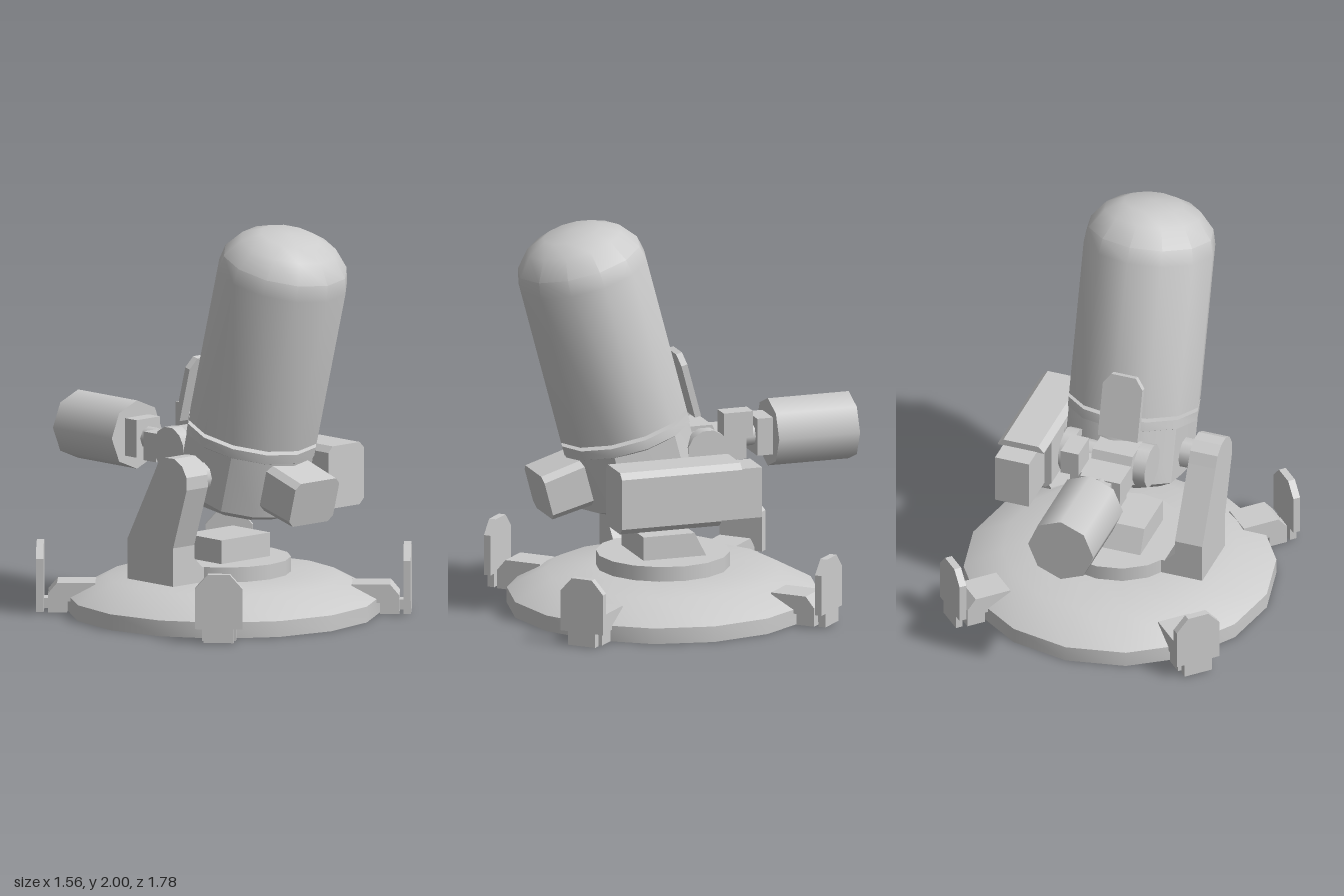
import * as THREE from 'three';
import { toCreasedNormals } from 'three/addons/utils/BufferGeometryUtils.js';

const grey = new THREE.MeshStandardMaterial({ color: 0xcccccc });
const greyDouble = new THREE.MeshStandardMaterial({ color: 0xcccccc, side: THREE.DoubleSide });

function add(parent, name, geometry, material = grey) {
  const mesh = new THREE.Mesh(geometry, material);
  mesh.name = name;
  parent.add(mesh);
  return mesh;
}

function group(parent, name) {
  const g = new THREE.Group();
  g.name = name;
  parent.add(g);
  return g;
}

const shapeOf = (pts) => new THREE.Shape(pts.map(([x, y]) => new THREE.Vector2(x, y)));

// Box given by its limits
function box(x0, x1, y0, y1, z0, z1) {
  return new THREE.BoxGeometry(x1 - x0, y1 - y0, z1 - z0)
    .translate((x0 + x1) / 2, (y0 + y1) / 2, (z0 + z1) / 2);
}

// Outline in (x, y) extruded from z0 to z1
function slabZ(pts, z0, z1) {
  return new THREE.ExtrudeGeometry(shapeOf(pts), { depth: z1 - z0, bevelEnabled: false }).translate(0, 0, z0);
}

// Outline in (z, y) extruded from x0 to x1
function slabX(pts, x0, x1) {
  return new THREE.ExtrudeGeometry(shapeOf(pts), { depth: x1 - x0, bevelEnabled: false })
    .rotateY(-Math.PI / 2).translate(x1, 0, 0);
}

// Rectangle with cut corners; the bottom cut may differ from the top
function cutRect(x0, x1, y0, y1, top, bottom = top) {
  const pts = [[x0 + bottom, y0], [x1 - bottom, y0], [x1, y0 + bottom], [x1, y1 - top],
    [x1 - top, y1], [x0 + top, y1], [x0, y1 - top], [x0, y0 + bottom]];
  return pts.filter((p, i) => i === 0 || p[0] !== pts[i - 1][0] || p[1] !== pts[i - 1][1]);
}

function lathe(profile, sides, crease = 0.65) {
  const pts = profile.map(([r, y]) => new THREE.Vector2(r, y));
  return toCreasedNormals(new THREE.LatheGeometry(pts, sides), crease);
}

const cylX = (r, x0, x1, y, z, sides) => new THREE.CylinderGeometry(r, r, x1 - x0, sides)
  .rotateZ(Math.PI / 2).translate((x0 + x1) / 2, y, z);
const cylZ = (r, z0, z1, x, y, sides) => new THREE.CylinderGeometry(r, r, z1 - z0, sides)
  .rotateX(Math.PI / 2).translate(x, y, (z0 + z1) / 2);

export function createModel() {
  const model = new THREE.Group();
  model.name = 'swivelMount';

  // Base: hollow dish, turntable and four clamps
  const base = group(model, 'base');
  base.position.z = 0.11;
  add(base, 'dish', lathe([[0.78, 0], [0.78, 0.08], [0.585, 0.185], [0.3, 0.195], [0, 0.195]], 16), greyDouble);
  add(base, 'turntable', new THREE.CylinderGeometry(0.335, 0.335, 0.075, 16).translate(0, 0.2425, 0));
  add(base, 'turntableHub', new THREE.CylinderGeometry(0.2, 0.2, 0.03, 16).translate(0, 0.2, 0));
  for (let i = 0; i < 4; i++) {
    const clamp = group(base, 'clamp');
    clamp.rotation.y = Math.PI / 4 + i * Math.PI / 2;
    add(clamp, 'clampBracket', slabX([[0.64, 0.155], [0.62, 0.08], [0.72, 0.06], [0.78, 0.06], [0.78, 0.005],
      [0.876, 0.005], [0.876, 0.1], [0.83, 0.155]], -0.085, 0.085));
    add(clamp, 'clampPlate', slabZ([[-0.1175, 0.075], [-0.075, 0.075], [-0.075, 0.005], [0.075, 0.005],
      [0.075, 0.075], [0.1175, 0.075], [0.1175, 0.28], [0.055, 0.35], [-0.055, 0.35], [-0.1175, 0.28]], 0.897, 0.934));
    add(clamp, 'clampPin', box(-0.04, 0.04, 0.02, 0.07, 0.87, 0.9));
  }

  // Side arm carrying the tilting body
  const pivot = [0.735, 0.25];
  const arm = [[-0.06, 0.205], [0.27, 0.205], [0.27, 0.4]];
  for (let i = 0; i <= 6; i++) {
    const a = -0.25 + i * 0.53;
    arm.push([pivot[1] + 0.122 * Math.cos(a), pivot[0] + 0.122 * Math.sin(a)]);
  }
  arm.push([-0.06, 0.41]);
  add(model, 'sideArm', slabX(arm, -0.5, -0.355));
  add(model, 'armFoot', slabZ([[-0.36, 0.205], [-0.28, 0.205], [-0.28, 0.28], [-0.3, 0.28], [-0.36, 0.34]], -0.06, 0.27));
  add(model, 'trunnion', cylX(0.078, -0.36, -0.27, ...pivot, 10));
  add(model, 'turntableRamp', slabX([[0.27, 0.27], [0.27, 0.4], [0, 0.4], [-0.065, 0.27]], -0.17, 0.165));

  // Tilting body: domed drum above a lower housing
  const body = group(model, 'tiltingBody');
  body.position.set(0, 0.735, 0.262);
  body.rotation.x = THREE.MathUtils.degToRad(15);
  add(body, 'drum', lathe([[0, 0.24], [0.335, 0.24], [0.335, 1.05], [0.318, 1.13], [0.245, 1.222],
    [0.15, 1.268], [0, 1.28]], 12));
  add(body, 'drumSpindle', new THREE.CylinderGeometry(0.27, 0.27, 0.06, 12).translate(0, 0.23, 0));
  add(body, 'collar', lathe([[0.31, 0.16], [0.335, 0.172], [0.335, 0.22], [0, 0.22]], 12));

  // Lower housing, flattened on both sides
  const housing = new THREE.LatheGeometry([[0, -0.175], [0.25, -0.165], [0.33, -0.12], [0.33, 0.17], [0, 0.17]]
    .map(([r, y]) => new THREE.Vector2(r, y)), 12);
  const pos = housing.attributes.position;
  for (let i = 0; i < pos.count; i++) pos.setX(i, THREE.MathUtils.clamp(pos.getX(i), -0.29, 0.29));
  add(body, 'lowerHousing', toCreasedNormals(housing, 0.6));

  // Front box with a bevelled face
  const front = new THREE.ExtrudeGeometry(shapeOf(cutRect(-0.15, 0.15, -0.083, 0.162, 0.03)),
    { depth: 0.262, bevelEnabled: false }).translate(0, 0, 0.25);
  const fp = front.attributes.position;
  for (let i = 0; i < fp.count; i++) if (fp.getZ(i) > 0.4 && fp.getY(i) > 0.12) fp.setY(i, fp.getY(i) - 0.012);
  front.computeVertexNormals();
  add(body, 'frontBox', front);

  // Upright tab and pivot discs at the rear
  add(body, 'rearTab', slabZ([[-0.16, 0.14], [0.05, 0.14], [0.05, 0.42], [0.01, 0.475], [-0.12, 0.475], [-0.16, 0.42]],
    -0.385, -0.353));
  for (const s of [-1, 1]) {
    add(body, 'rearPivotDisc', cylX(0.11, s * 0.1975 - 0.0325, s * 0.1975 + 0.0325, 0.012, -0.326, 12));
  }
  add(body, 'rearPivotAxle', cylX(0.07, -0.18, 0.18, 0.012, -0.326, 10));

  // Side box on the left, with an overhanging lid
  const side = group(model, 'sideBox');
  add(side, 'sideBoxBody', slabZ(cutRect(0.323, 0.568, 0.53, 0.845, 0.03), 0, 0.525));
  add(side, 'sideBoxLid', slabZ([[0.323, 0.81], [0.568, 0.81], [0.568, 0.815], [0.538, 0.845], [0.353, 0.845],
    [0.323, 0.815]], -0.11, 0.01));
  add(side, 'sideBoxEnd', box(0.36, 0.54, 0.555, 0.812, -0.225, 0.01));
  add(side, 'sideBoxPivot', cylX(0.078, 0.27, 0.33, ...pivot, 10));

  // Rear bracket and motor
  const drive = group(model, 'rearDrive');
  add(drive, 'driveBlock', slabX([[0.03, 0.75], [-0.22, 0.75], [-0.22, 0.73], [-0.31, 0.73], [-0.31, 0.875],
    [-0.15, 0.875], [-0.13, 0.92], [0.03, 0.92]], -0.156, 0.057));
  add(drive, 'smallShelf', box(0.05, 0.16, 0.79, 0.87, -0.16, 0.01));
  add(drive, 'smallBox', box(0.066, 0.16, 0.87, 1.0, -0.31, -0.155));
  add(drive, 'smallBoxFoot', box(0.05, 0.12, 0.8, 0.872, -0.28, -0.155));
  add(drive, 'motorShaft', cylZ(0.057, -0.385, -0.3, -0.055, 0.823, 8));
  add(drive, 'motorNeck', box(-0.137, 0.024, 0.73, 0.92, -0.465, -0.38));
  add(drive, 'motor', cylZ(0.173, -0.89, -0.463, -0.055, 0.827, 8));

  return model;
}
